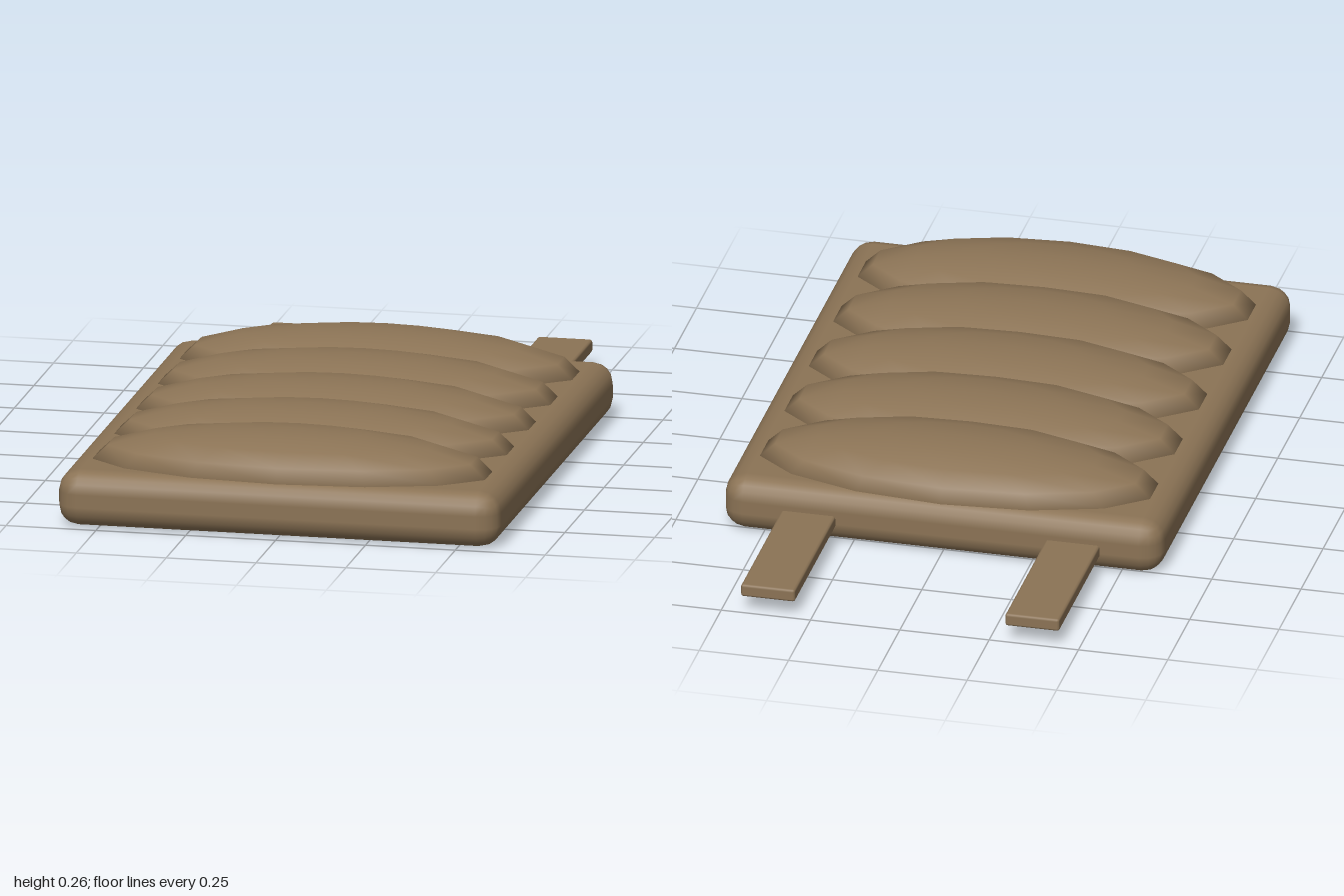
import * as THREE from 'three';
import { RoundedBoxGeometry } from 'three/addons/geometries/RoundedBoxGeometry.js';

export function createModel() {
  const model = new THREE.Group();
  model.name = 'quiltedPad';
  const fabric = new THREE.MeshStandardMaterial({ color: 0x8b7355, side: THREE.DoubleSide });
  fabric.name = 'brown fabric';

  const add = (name, geometry, x, y, z) => {
    const mesh = new THREE.Mesh(geometry, fabric);
    mesh.name = name;
    mesh.position.set(x, y, z);
    model.add(mesh);
    return mesh;
  };

  // Rounded slab under the padding
  const midZ = 0.23;
  add('base', new RoundedBoxGeometry(1.23, 0.156, 1.54, 2, 0.06), 0, 0.078, midZ);

  // Five overlapping half-ellipsoid cushions across the top
  const dome = new THREE.SphereGeometry(1, 14, 4, 0, Math.PI * 2, 0, Math.PI / 2);
  dome.rotateY(Math.PI / 2);
  dome.scale(0.56, 0.105, 0.215);
  for (let i = 0; i < 5; i++) {
    add('cushion' + (i + 1), dome, 0, 0.157, midZ + (i - 2) * 0.2775);
  }

  // Two flat straps out of the back edge
  const strap = new RoundedBoxGeometry(0.152, 0.036, 0.5, 1, 0.007);
  for (const side of [-1, 1]) {
    add(side > 0 ? 'leftStrap' : 'rightStrap', strap, side * 0.37, 0.066, -0.75);
  }

  return model;
}
